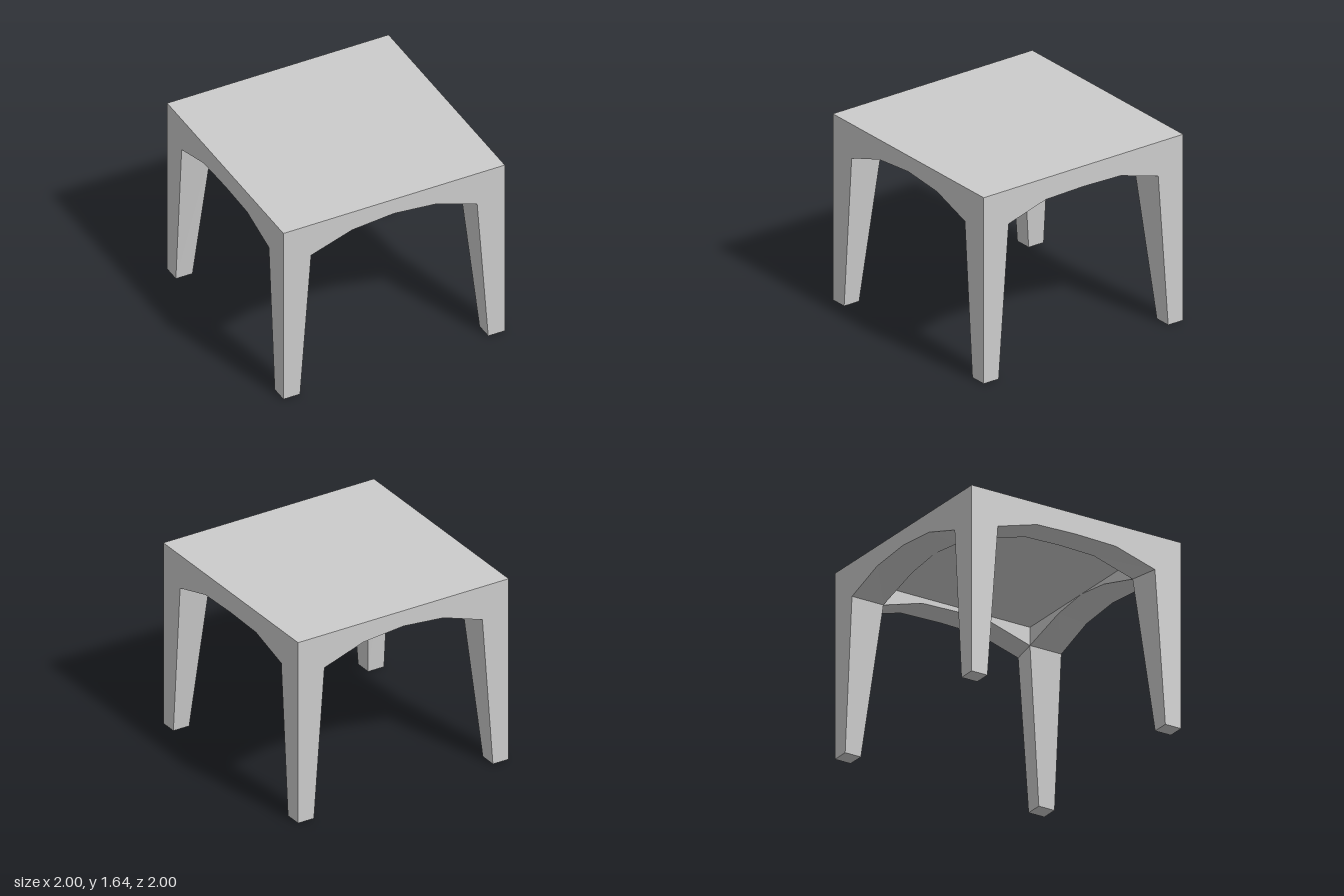
import * as THREE from 'three';

const H = 1.64;       // table height
const SPRING = 1.34;  // where the arches meet the legs
const CEIL = 1.5;     // underside of the top inside the aprons

const material = new THREE.MeshStandardMaterial({ color: 0xcccccc, flatShading: true });

// Flat-shaded mesh from four-cornered faces, counter-clockwise seen from outside
function quadMesh(name, quads) {
  const pos = quads.flatMap(([a, b, c, d]) => [a, b, c, a, c, d].flat());
  const geo = new THREE.BufferGeometry();
  geo.setAttribute('position', new THREE.Float32BufferAttribute(pos, 3));
  geo.computeVertexNormals();
  const mesh = new THREE.Mesh(geo, material);
  mesh.name = name;
  return mesh;
}

// Mirror faces across x and/or z, keeping them facing outward
function mirror(quads, sx, sz) {
  return quads.map((q) => {
    const m = q.map(([x, y, z]) => [x * sx, y, z * sz]);
    return sx * sz < 0 ? m.reverse() : m;
  });
}

const atHeight = ([x, , z], y) => [x, y, z];

// Half an apron: outer face, arched soffit and inner face
function halfApron(outer, inner) {
  const quads = [];
  for (let i = 0; i < outer.length - 1; i++) {
    const [a, b, c, d] = [outer[i], outer[i + 1], inner[i], inner[i + 1]];
    quads.push([b, a, atHeight(a, H), atHeight(b, H)]);
    quads.push([a, b, d, c]);
    quads.push([c, d, atHeight(d, CEIL), atHeight(c, CEIL)]);
  }
  return quads;
}

export function createModel() {
  const table = new THREE.Group();
  table.name = 'table';

  // Square top, with a recessed underside between the aprons
  table.add(quadMesh('tabletop', [
    [[-1, H, 1], [1, H, 1], [1, H, -1], [-1, H, -1]],
    [[-0.75, CEIL, -0.7], [0.75, CEIL, -0.7], [0.75, CEIL, 0.7], [-0.75, CEIL, 0.7]],
  ]));

  // Front apron half, from leg to centre
  const frontHalf = halfApron(
    [[0.75, SPRING, 1], [0.38, 1.465, 1], [0, 1.5, 1]],
    [[0.75, SPRING, 0.7], [0.33, 1.46, 0.7], [0, 1.5, 0.7]]
  );
  // Side apron half; it runs the other way round, so its faces are reversed
  const sideHalf = halfApron(
    [[1, SPRING, 0.75], [1, 1.45, 0.375], [1, 1.46, 0]],
    [[0.75, SPRING, 0.7], [0.75, 1.45, 0.33], [0.75, 1.46, 0]]
  ).map((q) => q.reverse());

  // Tapered corner leg, running up flush to the top
  const leg = [
    [[0.85, 0, 1], [1, 0, 1], [1, SPRING, 1], [0.75, SPRING, 1]],
    [[0.75, SPRING, 1], [1, SPRING, 1], [1, H, 1], [0.75, H, 1]],
    [[1, 0, 1], [1, 0, 0.85], [1, SPRING, 0.75], [1, SPRING, 1]],
    [[1, SPRING, 1], [1, SPRING, 0.75], [1, H, 0.75], [1, H, 1]],
    [[0.85, 0, 0.85], [0.85, 0, 1], [0.75, SPRING, 1], [0.75, SPRING, 0.7]],
    [[1, 0, 0.85], [0.85, 0, 0.85], [0.75, SPRING, 0.7], [1, SPRING, 0.75]],
    [[0.85, 0, 0.85], [1, 0, 0.85], [1, 0, 1], [0.85, 0, 1]],
  ];

  for (const s of [1, -1]) {
    const end = s > 0 ? 'front' : 'back';
    const side = s > 0 ? 'left' : 'right';
    table.add(quadMesh(`${end}Apron`, [...mirror(frontHalf, 1, s), ...mirror(frontHalf, -1, s)]));
    table.add(quadMesh(`${side}Apron`, [...mirror(sideHalf, s, 1), ...mirror(sideHalf, s, -1)]));
    table.add(quadMesh(`${end}LeftLeg`, mirror(leg, 1, s)));
    table.add(quadMesh(`${end}RightLeg`, mirror(leg, -1, s)));
  }
  return table;
}
